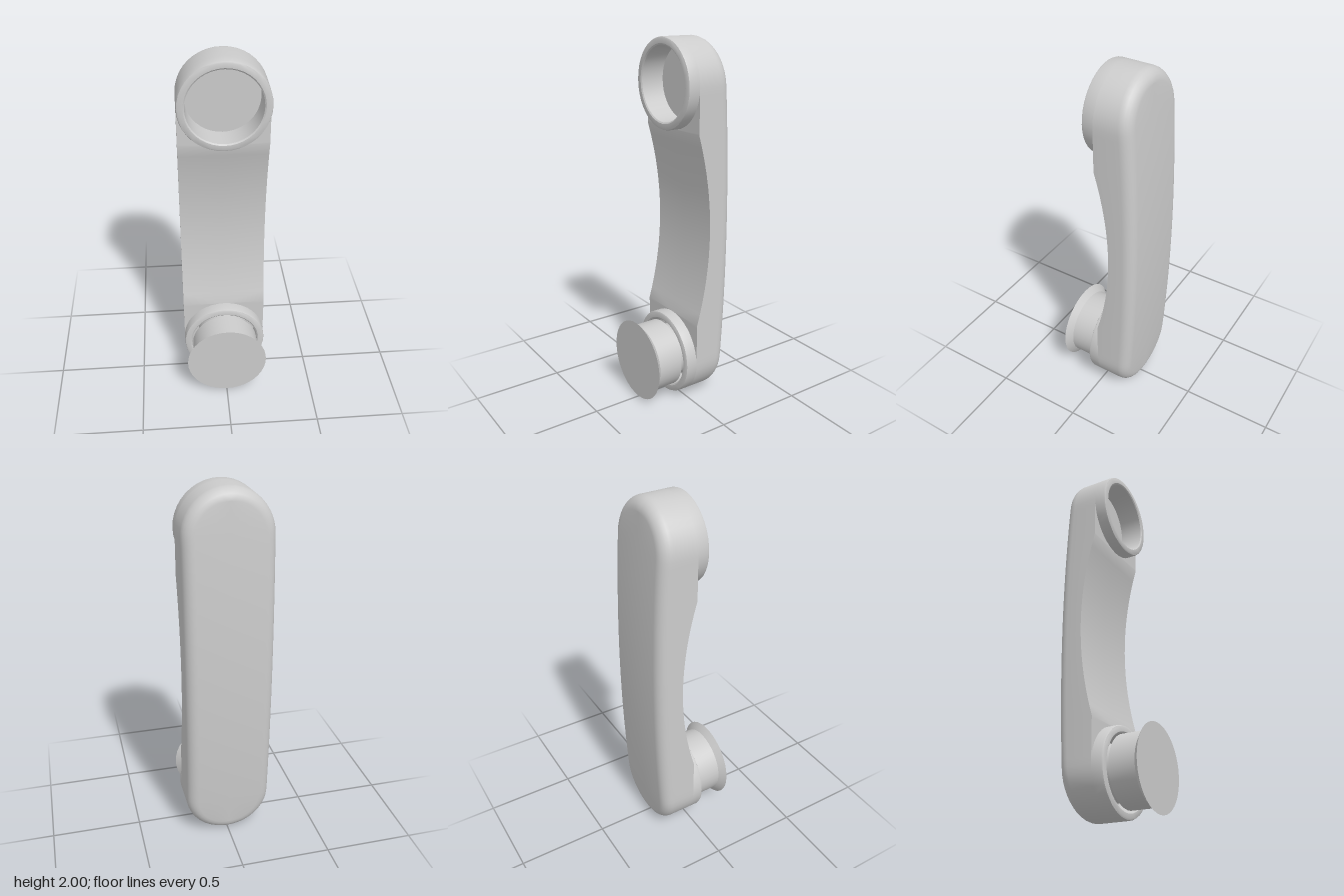
import * as THREE from 'three';
import { toCreasedNormals } from 'three/addons/utils/BufferGeometryUtils.js';

const R = 0.237;            // half width and end radius
const TOP = 2 - R, LOW = R; // centres of the two round ends
const BEVEL = 0.06;
const material = new THREE.MeshStandardMaterial({ color: 0xcccccc, side: THREE.DoubleSide });

// Depth of the concave grip front and the gently bowed back at height y
const frontZ = (y) => -0.088 + 0.078 * Math.min(1, ((y - 1) / (TOP - R - 1)) ** 2);
const backZ = (y) => -0.232 + 0.045 * Math.min(1, (y - 1) ** 2);

// Half outline of the rounded bar from top to bottom: direction plus arc centre
function outline() {
  const rows = [];
  const N = 10;
  for (let i = 0; i <= N; i++) {
    const a = (i / N) * Math.PI / 2;
    rows.push([Math.sin(a), Math.cos(a), TOP]);
  }
  for (let i = 1; i <= N; i++) rows.push([1, 0, TOP - R * Math.sin((i / N) * Math.PI / 2)]);
  for (let i = 1; i < 8; i++) rows.push([1, 0, TOP - R - (i / 16) * 2 * (TOP - R - 1)]);
  const lower = rows.map(([nx, ny, cy]) => [nx, -ny, 2 - cy]).reverse();
  return [...rows, [1, 0, 1], ...lower];
}

function handleGeometry() {
  const pos = [];
  const quad = (a, b, c, d) => {
    pos.push(...a, ...b, ...c, ...a, ...c, ...d);
    const [e, f, g, h] = [a, b, c, d].map(([x, y, z]) => [-x, y, z]);
    pos.push(...e, ...g, ...f, ...e, ...h, ...g);
  };
  const rows = outline();
  const at = ([nx, ny, cy], inset) => [nx * (R - inset), cy + ny * (R - inset)];

  // Rings run from the front edge, along the side, round the bevel to the back
  const rings = [rows.map((r) => {
    const [x, y] = at(r, 0);
    return [x, y, frontZ(y)];
  })];
  for (let k = 0; k <= 6; k++) {
    const a = (k / 6) * Math.PI / 2;
    rings.push(rows.map((r) => {
      const [x, y] = at(r, BEVEL * (1 - Math.cos(a)));
      return [x, y, backZ(y) + BEVEL * (1 - Math.sin(a))];
    }));
  }
  // The front skin stops where the round cups begin
  const inner = rings[0].map(([x, y, z]) => {
    const dy = Math.min(Math.abs(y - TOP), Math.abs(y - LOW));
    return [Math.min(x, Math.sqrt(Math.max(0, R * R - dy * dy))), y, z];
  });
  const back = rings[rings.length - 1];
  const mid = back.map(([, y, z]) => [0, y, z]);

  for (let i = 0; i < rows.length - 1; i++) {
    const j = i + 1;
    const straight = rows[i][1] === 0 && rows[j][1] === 0;
    if (straight) quad(inner[j], rings[0][j], rings[0][i], inner[i]);
    for (let k = 0; k < rings.length - 1; k++) {
      quad(rings[k][j], rings[k + 1][j], rings[k + 1][i], rings[k][i]);
    }
    quad(back[j], mid[j], mid[i], back[i]);
  }
  const geo = new THREE.BufferGeometry();
  geo.setAttribute('position', new THREE.Float32BufferAttribute(pos, 3));
  return toCreasedNormals(geo, 0.5);
}

// Turned part facing +z; profile points are [radius, z]
function turned(name, profile, y) {
  const geo = new THREE.LatheGeometry(profile.map(([r, z]) => new THREE.Vector2(r, z)), 40);
  geo.rotateX(Math.PI / 2);
  const mesh = new THREE.Mesh(toCreasedNormals(geo, 0.5), material);
  mesh.name = name;
  mesh.position.y = y;
  return mesh;
}

export function createModel() {
  const group = new THREE.Group();
  group.name = 'handset';

  const handle = new THREE.Mesh(handleGeometry(), material);
  handle.name = 'handle';
  group.add(handle);

  // Hollow cups at both ends
  const cup = [[R, -0.012], [R, 0.043], [0.234, 0.051], [0.226, 0.055],
    [0.203, 0.055], [0.196, 0.05], [0.194, -0.08], [0, -0.08]];
  group.add(turned('earpieceCup', cup, TOP), turned('mouthpieceCup', cup, LOW));

  // Flared cap standing proud of the lower cup on a narrower neck
  group.add(turned('mouthpieceNeck', [[0.148, -0.08], [0.148, 0.06]], LOW));
  group.add(turned('mouthpieceCap',
    [[0, 0.058], [0.19, 0.058], [0.19, 0.2], [0.228, 0.232], [0, 0.232]], LOW));

  return group;
}
